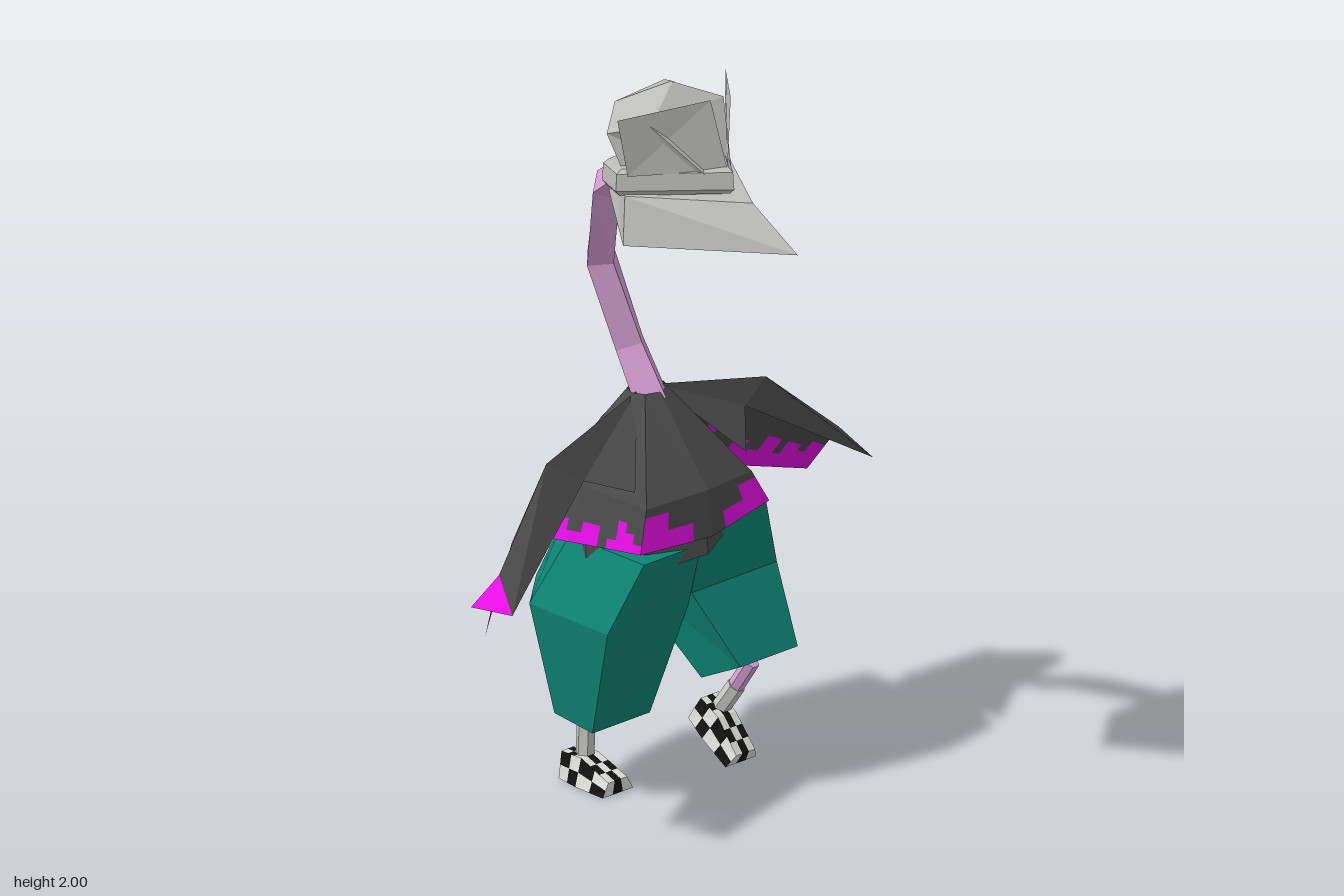
import * as THREE from 'three';

const V = (x, y, z) => new THREE.Vector3(x, y, z);
const paint = (name, color, open) => {
  const m = new THREE.MeshStandardMaterial({ color });
  m.name = name;
  if (open) m.side = THREE.DoubleSide;
  return m;
};

// Flat-faceted mesh from [material, p, q, r, (s)] faces, one group per material
function build(name, faces) {
  const mats = [...new Set(faces.map(f => f[0]))];
  const pos = [];
  const geo = new THREE.BufferGeometry();
  mats.forEach((m, k) => {
    const start = pos.length / 3;
    for (const [fm, p, q, r, s] of faces) {
      if (fm !== m) continue;
      for (const v of s ? [p, q, r, p, r, s] : [p, q, r]) pos.push(v.x, v.y, v.z);
    }
    geo.addGroup(start, pos.length / 3 - start, k);
  });
  geo.setAttribute('position', new THREE.Float32BufferAttribute(pos, 3));
  geo.computeVertexNormals();
  const mesh = new THREE.Mesh(geo, mats.length > 1 ? mats : mats[0]);
  mesh.name = name;
  return mesh;
}

// Four-cornered patch cut into cells; pick(i, j, nv) gives each cell's material
function patch(a, b, c, d, nu, nv, pick) {
  const at = (u, v) => a.clone().lerp(b, u).lerp(d.clone().lerp(c, u), v);
  const out = [];
  for (let i = 0; i < nu; i++) for (let j = 0; j < nv; j++) {
    const u0 = i / nu, u1 = (i + 1) / nu, v0 = j / nv, v1 = (j + 1) / nv;
    out.push([pick(i, j, nv), at(u0, v0), at(u1, v0), at(u1, v1), at(u0, v1)]);
  }
  return out;
}

// Skin over rings listed from bottom to top, with fan caps
function loft(name, rings, mat) {
  const faces = [], n = rings[0].length;
  for (let k = 0; k + 1 < rings.length; k++) for (let i = 0; i < n; i++) {
    const j = (i + 1) % n;
    faces.push([mat, rings[k][i], rings[k + 1][i], rings[k + 1][j], rings[k][j]]);
  }
  const lo = rings[0], hi = rings[rings.length - 1];
  for (let i = 1; i + 1 < n; i++) {
    faces.push([mat, lo[0], lo[i], lo[i + 1]], [mat, hi[0], hi[i + 1], hi[i]]);
  }
  return build(name, faces);
}

// Ring of n points; lean raises the +x side
const ring = (x, y, z, rx, rz, n, lean = 0) => Array.from({ length: n }, (_, i) => {
  const t = i / n * Math.PI * 2, dx = Math.cos(t) * rx;
  return V(x + dx, y + dx * lean, z + Math.sin(t) * rz);
});

// Trouser section: flat front, pointed back
const legRing = (x, y, zf, zb, rx, tilt = 0) => {
  const side = zb + 0.3 * (zf - zb), mid = (zf + zb) / 2;
  return [[1, zf], [-1, zf], [-1, side], [0, zb], [1, side]].map(([s, z]) => V(x + s * rx, y + (z - mid) * tilt, z));
};

// Faceted tube whose rings turn with the path
function tube(name, pts, radii, mat, n) {
  return loft(name, pts.map((p, k) => {
    const t = pts[Math.min(k + 1, pts.length - 1)].clone().sub(pts[Math.max(k - 1, 0)]).normalize();
    const v = V(1, 0, 0).cross(t).normalize(), u = t.clone().cross(v).negate();
    u.copy(v).cross(t);
    return Array.from({ length: n }, (_, i) => {
      const a = i / n * Math.PI * 2;
      return p.clone().addScaledVector(u, -Math.cos(a) * radii[k]).addScaledVector(v, Math.sin(a) * -radii[k]);
    }).reverse();
  }).map(r => orient(r, pts)), mat);
}

// Makes a ring run from +x toward the front about its path
function orient(r, pts) {
  const dir = pts[pts.length - 1].clone().sub(pts[0]);
  const turn = r[1].clone().sub(r[0]).cross(r[2].clone().sub(r[1]));
  return turn.dot(dir) > 0 ? r.reverse() : r;
}

export function createModel() {
  const model = new THREE.Group();
  model.name = 'longNeckedBird';
  const cloth = paint('charcoal cloth', 0x4a4a4a, true);
  const trim = paint('magenta trim', 0xea0eea, true);
  const teal = paint('teal trousers', 0x0d8573);
  const skin = paint('pink skin', 0xd69fd2);
  const grey = paint('light grey', 0xbcbcb8, true);
  const sock = paint('sock grey', 0xc8c8c4);
  const black = paint('shoe black', 0x121212);
  const white = paint('shoe white', 0xdededa);
  const sole = paint('sole brown', 0x94693c);
  const plain = () => cloth;
  const fringe = h => (i, j, nv) => (nv - j <= h[i % h.length] ? trim : cloth);

  // Neck
  model.add(tube('neck', [V(0.012, 1.0, -0.19), V(0, 1.14, -0.26), V(-0.05, 1.37, -0.31),
    V(-0.115, 1.61, -0.215), V(-0.145, 1.715, -0.07), V(-0.15, 1.73, 0.02)],
    [0.056, 0.048, 0.047, 0.048, 0.045, 0.04], skin, 4));

  // Head: bill, band, dome and two upright front panels
  model.add(loft('bill', [
    [V(0.04, 1.645, 0.09), V(-0.14, 1.643, 0.49), V(-0.365, 1.615, 0.1), V(-0.27, 1.69, -0.05), V(-0.05, 1.7, -0.055)],
    [V(0, 1.765, 0.08), V(-0.15, 1.74, 0.34), V(-0.34, 1.735, 0.08), V(-0.27, 1.745, -0.03), V(-0.06, 1.75, -0.03)]], grey));
  const bandRing = (y, s) => [[0.17, 0.02, 0.05], [0.0, 0.01, 0.28], [-0.18, -0.01, 0.06], [-0.12, -0.03, -0.05], [0.1, -0.02, -0.05]]
    .map(([x, dy, z]) => V(-0.165 + x * s, y + dy, 0.06 + (z - 0.06) * s));
  model.add(loft('headBand', [bandRing(1.74, 0.97), bandRing(1.755, 1.04), bandRing(1.8, 1.02), bandRing(1.81, 0.94)], grey));
  model.add(loft('headDome', [
    [V(-0.03, 1.78, 0.05), V(-0.12, 1.8, 0.23), V(-0.21, 1.8, 0.23), V(-0.31, 1.77, 0.05), V(-0.25, 1.75, -0.03), V(-0.09, 1.76, -0.03)],
    [V(-0.02, 1.89, 0.01), V(-0.06, 1.94, 0.14), V(-0.31, 1.93, 0.14), V(-0.335, 1.88, 0.01), V(-0.26, 1.93, -0.04), V(-0.09, 1.94, -0.04)],
    ring(-0.17, 1.99, 0.07, 0.005, 0.005, 6)], grey));
  model.add(build('frontPanels', [
    [grey, V(-0.165, 1.82, 0.265), V(0, 1.81, 0.08), V(0.005, 1.975, 0.08), V(-0.15, 2, 0.26)],
    [grey, V(-0.34, 1.79, 0.09), V(-0.165, 1.81, 0.265), V(-0.2, 2, 0.24), V(-0.375, 1.95, 0.09)]]));

  // Shirt below the cape, higher on the side of the raised leg
  model.add(loft('shirt', [ring(0, 0.66, -0.19, 0.215, 0.213, 8, 0.2), ring(0, 0.8, -0.2, 0.205, 0.205, 8)], cloth));

  // Cape body: three rings starting at the front and turning toward +x
  const collar = ring(0.005, 1.04, -0.2, 0.055, 0.045, 8);
  const neckLine = [2, 1, 0, 7, 6, 5, 4, 3].map(i => collar[i]);
  const chest = [V(0, 0.83, 0.02), V(0.18, 0.82, -0.01), V(0.22, 0.84, -0.2), V(0.2, 0.81, -0.36),
    V(0, 0.82, -0.42), V(-0.2, 0.81, -0.34), V(-0.22, 0.84, -0.2), V(-0.18, 0.82, -0.01)];
  const hem = [V(0, 0.71, 0.035), V(0.23, 0.73, 0), V(0.25, 0.71, -0.2), V(0.285, 0.69, -0.44),
    V(0.01, 0.62, -0.49), V(-0.28, 0.68, -0.37), V(-0.26, 0.7, -0.2), V(-0.21, 0.71, 0)];
  const front = [0, 0, 2, 2, 2, 4, 4, 4], back = [1, 2, 2, 0, 1, 3, 2, 1];
  const cape = [];
  for (let i = 0; i < 8; i++) {
    const j = (i + 1) % 8;
    cape.push(...patch(neckLine[i], neckLine[j], chest[j], chest[i], 1, 1, plain));
    const heights = i === 0 ? front : i === 7 ? [...front].reverse() : back;
    cape.push(...patch(chest[i], chest[j], hem[j], hem[i], 8, 5, fringe(heights)));
  }
  model.add(build('cape', cape));
  model.add(build('backStripe', [[trim, V(0.005, 1.03, -0.252), V(0.03, 1.03, -0.25), V(0.035, 0.9, -0.37), V(0.012, 0.9, -0.378)]]));

  // Sleeves: a ridge, a narrow front fold, a hanging rear panel and an end flap
  const sleeves = {
    leftSleeve: {
      ridge: [V(0.03, 1.04, -0.2), V(0.41, 0.95, -0.2), V(0.68, 0.73, -0.22)],
      fore: [V(0.19, 0.86, -0.04), V(0.3, 0.915, -0.16), V(0.738, 0.65, -0.16)],
      rear: [V(0.2, 0.81, -0.37), V(0.345, 0.685, -0.365), V(0.67, 0.59, -0.325)],
      flap: V(0.738, 0.67, -0.3)
    },
    rightSleeve: {
      ridge: [V(-0.03, 1.04, -0.2), V(-0.37, 0.95, -0.17), V(-0.665, 0.78, -0.03)],
      fore: [V(-0.19, 0.86, -0.04), V(-0.28, 0.89, -0.13), V(-0.715, 0.715, 0.07)],
      rear: [V(-0.2, 0.81, -0.34), V(-0.345, 0.685, -0.32), V(-0.685, 0.61, -0.06)],
      flap: V(-0.742, 0.71, -0.05)
    }
  };
  const cuff = fringe([1, 1, 3, 3, 2, 2, 4, 4, 2, 4, 4, 3, 5, 5]);
  const spots = (i, j) => (i === 6 && j === 5 ? trim : cloth);
  for (const [name, { ridge: r, fore: f, rear: b, flap }] of Object.entries(sleeves)) {
    const hook = r[2].clone().lerp(f[2], 0.55);
    model.add(build(name, [
      ...patch(r[0], r[1], f[1], f[0], 1, 1, plain),
      ...patch(r[1], r[2], f[2], f[1], 1, 1, plain),
      ...patch(r[0], r[1], b[1], b[0], 8, 9, spots),
      ...patch(r[1], r[2], b[2], b[1], 14, 9, cuff),
      [trim, hook, f[2], flap], [trim, r[2], hook, flap]]));
  }

  // Trousers: one straight leg, one stepping forward
  model.add(loft('rightTrouserLeg', [legRing(-0.128, 0.2, -0.155, -0.35, 0.098, -0.1),
    legRing(-0.137, 0.5, -0.05, -0.45, 0.138), legRing(-0.1, 0.68, 0, -0.38, 0.098)], teal));
  model.add(loft('leftTrouserLeg', [legRing(0.182, 0.29, 0.05, -0.15, 0.098, 0.5),
    legRing(0.158, 0.53, -0.05, -0.45, 0.146), legRing(0.115, 0.73, 0, -0.38, 0.105)], teal));

  // Shins and socks
  model.add(tube('rightShin', [V(-0.128, 0.16, -0.28), V(-0.128, 0.25, -0.28)], [0.021, 0.021], skin, 6));
  model.add(tube('rightSock', [V(-0.128, 0.05, -0.285), V(-0.128, 0.165, -0.28)], [0.024, 0.024], sock, 6));
  model.add(tube('leftShin', [V(0.172, 0.23, -0.06), V(0.18, 0.31, -0.01)], [0.021, 0.021], skin, 6));
  model.add(tube('leftSock', [V(0.157, 0.13, -0.125), V(0.173, 0.235, -0.057)], [0.024, 0.024], sock, 6));

  // Checkered shoes on brown soles, heel at the origin and toe toward +z
  const shoe = name => {
    const cut = (z, bottom, top, h) => ({ bl: V(-bottom, 0, z), br: V(bottom, 0, z), tl: V(-top, h, z), tr: V(top, h, z) });
    const cuts = [cut(0, 0.04, 0.03, 0.07), cut(0.07, 0.05, 0.03, 0.072), cut(0.17, 0.052, 0.032, 0.035)];
    const check = (i, j) => ((i + j) % 2 ? black : white);
    const faces = [];
    for (let k = 0; k < 2; k++) {
      const p = cuts[k], q = cuts[k + 1];
      faces.push(...patch(p.tr, q.tr, q.br, p.br, 2, 2, check), ...patch(q.tl, p.tl, p.bl, q.bl, 2, 2, check),
        ...patch(p.tl, q.tl, q.tr, p.tr, 3, 3, check), ...patch(p.br, q.br, q.bl, p.bl, 1, 1, () => sole));
    }
    const h = cuts[0], t = cuts[2];
    faces.push(...patch(t.tr, t.tl, t.bl, t.br, 3, 1, check), ...patch(h.tl, h.tr, h.br, h.bl, 3, 2, check));
    return build(name, faces);
  };
  const rightShoe = shoe('rightShoe'), leftShoe = shoe('leftShoe');
  rightShoe.position.set(-0.13, 0, -0.335);
  leftShoe.position.set(0.155, 0.13, -0.17);
  leftShoe.rotation.x = 0.53;
  model.add(rightShoe, leftShoe);
  return model;
}
